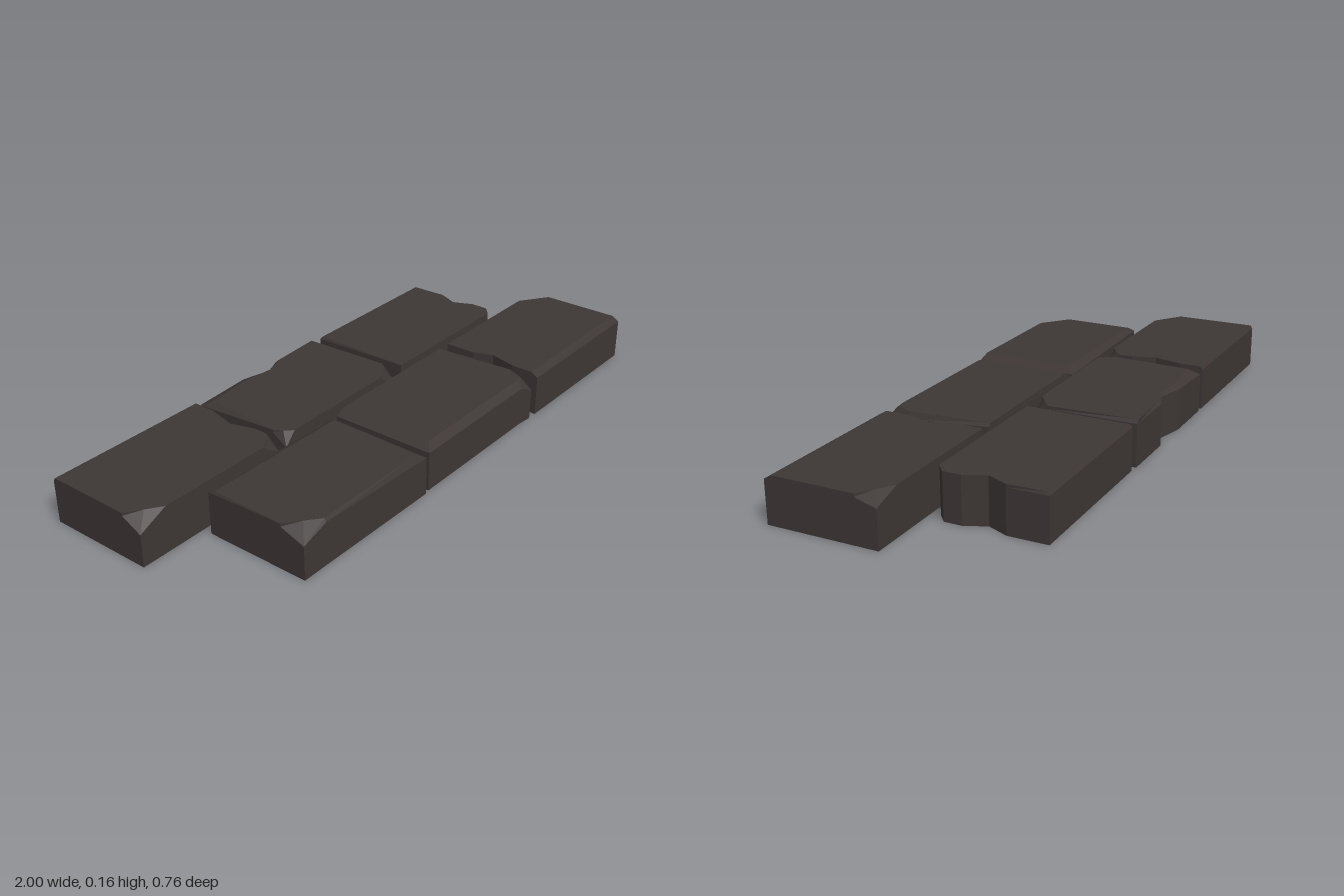
import * as THREE from 'three';

const H = 0.155;

// Corner entry: [x, z, topX, topZ, shoulderY]; the last three are optional.
// Corners run front-left, front-right, back-right, back-left.
function stoneGeometry(corners) {
  const full = corners.map(([x, z, tx = x, tz = z, sy = 0.145]) => ({ x, z, tx, tz, sy }));
  const loops = [
    full.map(c => [c.x, 0, c.z]),
    full.map(c => [c.x, c.sy, c.z]),
    full.map(c => [c.tx, H, c.tz]),
  ];
  const pos = [];
  const tri = (a, b, c) => pos.push(...a, ...b, ...c);
  const n = full.length;

  // Walls and bevels
  for (let k = 0; k < 2; k++) {
    for (let i = 0; i < n; i++) {
      const j = (i + 1) % n;
      tri(loops[k][i], loops[k][j], loops[k + 1][j]);
      tri(loops[k][i], loops[k + 1][j], loops[k + 1][i]);
    }
  }
  // Underside and top
  [0, 2].forEach(k => {
    const loop = loops[k];
    const flat = loop.map(p => new THREE.Vector2(p[0], -p[2]));
    THREE.ShapeUtils.triangulateShape(flat, []).forEach(([a, b, c]) =>
      k ? tri(loop[a], loop[b], loop[c]) : tri(loop[a], loop[c], loop[b]));
  });

  const g = new THREE.BufferGeometry();
  g.setAttribute('position', new THREE.Float32BufferAttribute(pos, 3));
  g.computeVertexNormals();
  return g;
}

const stones = {
  // Back row
  backRightStone: [
    [-1, -0.09], [-1, -0.02, -0.95, -0.055, 0.11], [-0.9, -0.02],
    [-0.49, -0.02], [-0.43, -0.02, -0.46, -0.045, 0.11], [-0.43, -0.07],
    [-0.43, -0.12], [-0.455, -0.2], [-0.43, -0.3],
    [-0.43, -0.385, -0.43, -0.378], [-1, -0.385, -1, -0.378],
  ],
  backMiddleStone: [
    [-0.4, -0.07], [-0.4, -0.015, -0.385, -0.04, 0.11], [-0.36, -0.015],
    [0.09, -0.02], [0.165, -0.02, 0.13, -0.05, 0.1], [0.165, -0.08],
    [0.165, -0.385, 0.15, -0.385], [-0.04, -0.385, -0.04, -0.375],
    [-0.1, -0.36, -0.1, -0.35], [-0.2, -0.385, -0.2, -0.36],
    [-0.405, -0.385, -0.385, -0.345, 0.135],
  ],
  backLeftStone: [
    [0.195, -0.02], [0.73, -0.02], [0.765, -0.05], [0.765, -0.11],
    [0.735, -0.18], [0.765, -0.25],
    [0.765, -0.382, 0.76, -0.375], [0.195, -0.382, 0.2, -0.375],
  ],
  // Front row
  frontRightStone: [
    [-0.765, 0.29], [-0.765, 0.375, -0.715, 0.33, 0.115], [-0.67, 0.375, -0.67, 0.367],
    [-0.205, 0.38, -0.24, 0.367, 0.13], [-0.205, 0.01, -0.235, 0.04, 0.135],
    [-0.765, 0.012, -0.76, 0.035],
  ],
  frontMiddleStone: [
    [-0.185, 0.375, -0.155, 0.35, 0.135], [0.34, 0.375, 0.34, 0.35, 0.135],
    [0.395, 0.38, 0.375, 0.345, 0.11], [0.41, 0.3, 0.4, 0.29, 0.13],
    [0.39, 0.01, 0.38, 0.01], [-0.185, 0.01, -0.155, 0.012, 0.135],
  ],
  frontLeftStone: [
    [0.43, 0.38, 0.43, 0.355, 0.14], [1, 0.38, 1, 0.355, 0.14],
    [1, 0.08], [1, 0.01, 0.95, 0.045, 0.125], [0.9, 0.01],
    [0.43, 0.01], [0.43, 0.12], [0.455, 0.185], [0.43, 0.28],
  ],
};

export function createModel() {
  const darkStone = new THREE.MeshStandardMaterial({ color: 0x3d3635, flatShading: true });
  darkStone.name = 'darkStone';
  const group = new THREE.Group();
  group.name = 'pavingStones';
  for (const [name, corners] of Object.entries(stones)) {
    const mesh = new THREE.Mesh(stoneGeometry(corners), darkStone);
    mesh.name = name;
    group.add(mesh);
  }
  return group;
}
